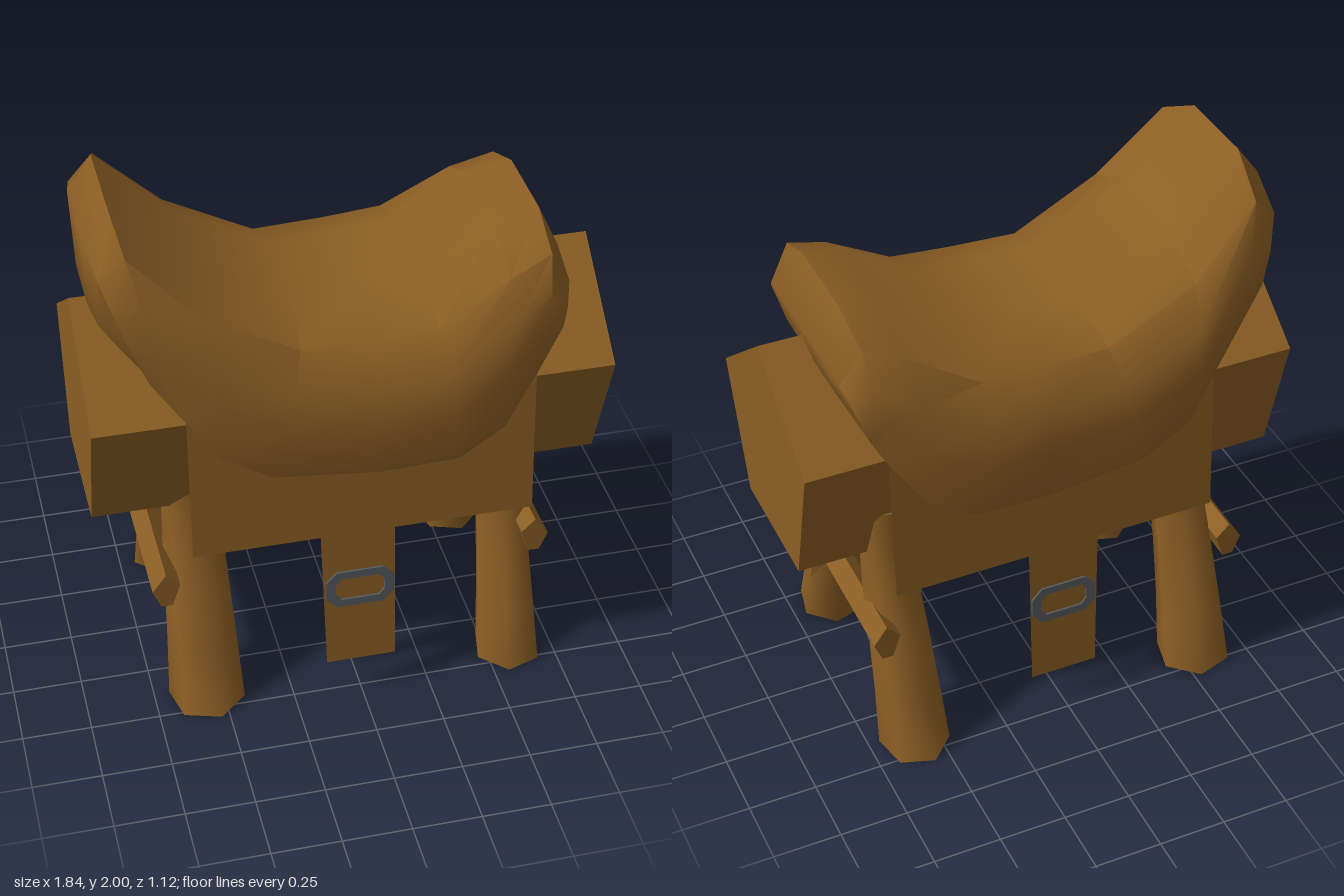
import * as THREE from 'three';
import { toCreasedNormals } from 'three/addons/utils/BufferGeometryUtils.js';

const leather = new THREE.MeshStandardMaterial({ color: 0x8b5e24, side: THREE.DoubleSide });
leather.name = 'brownLeatherAndWood';
const iron = new THREE.MeshStandardMaterial({ color: 0x55595c });
iron.name = 'greyIron';

const CZ = 0.035; // middle of the saddle in z

// Skin through rings of [x, y, z] points, closed at both ends by strips
function loft(rings, crease) {
  const m = rings[0].length, pos = [];
  const tri = (a, b, c) => pos.push(...a, ...b, ...c);
  for (let i = 0; i < rings.length - 1; i++) {
    for (let j = 0; j < m; j++) {
      const k = (j + 1) % m, r = rings[i], s = rings[i + 1];
      tri(r[j], s[j], s[k]);
      tri(r[j], s[k], r[k]);
    }
  }
  const first = rings[0], last = rings[rings.length - 1];
  for (let j = 0; j < Math.floor((m - 1) / 2); j++) {
    const a = j, b = j + 1, c = m - 2 - j, d = m - 1 - j;
    tri(first[a], first[b], first[d]);
    tri(last[a], last[d], last[b]);
    if (b !== c) {
      tri(first[b], first[c], first[d]);
      tri(last[b], last[d], last[c]);
    }
  }
  const geo = new THREE.BufferGeometry();
  geo.setAttribute('position', new THREE.Float32BufferAttribute(pos, 3));
  return toCreasedNormals(geo, crease);
}

function add(parent, name, geo, material) {
  const mesh = new THREE.Mesh(geo, material);
  mesh.name = name;
  parent.add(mesh);
  return mesh;
}

// Saddle: each station is [topX, topY, edgeX, edgeY, halfWidth, innerX, innerY]
function saddleGeometry() {
  const stations = [
    [-0.88, 1.88, -0.71, 1.42, 0.41, -0.87, 1.60],
    [-0.79, 2.00, -0.61, 1.28, 0.445, -0.78, 1.48],
    [-0.53, 1.74, -0.49, 1.13, 0.50, -0.50, 1.42],
    [-0.18, 1.56, -0.31, 1.02, 0.50, -0.20, 1.36],
    [0.06, 1.57, 0.06, 0.99, 0.515, 0.06, 1.36],
    [0.27, 1.58, 0.34, 1.01, 0.53, 0.28, 1.36],
    [0.53, 1.74, 0.51, 1.09, 0.49, 0.50, 1.40],
    [0.69, 1.78, 0.63, 1.27, 0.45, 0.70, 1.44],
    [0.77, 1.61, 0.68, 1.36, 0.42, 0.75, 1.50],
  ];
  // [share of half width, share of drop], from the crown down to the edge
  const outer = [[0.36, 0], [0.78, 0.14], [0.93, 0.38], [1, 0.62], [0.93, 1]];
  const inner = [[0.30, 0], [0.55, 0.12], [0.64, 0.35], [0.68, 0.6], [0.72, 0.85]];
  const rings = stations.map(([tx, ty, ex, ey, w, ix, iy]) => {
    const at = (x, y, side) => ([f, g]) => [x + (ex - x) * g, y + (ey - y) * g, CZ + side * f * w];
    return [
      ...outer.map(at(tx, ty, 1)).reverse(), ...outer.map(at(tx, ty, -1)),
      ...inner.map(at(ix, iy, -1)).reverse(), ...inner.map(at(ix, iy, 1)),
    ];
  });
  return loft(rings, 0.75);
}

// Leg: splayed six-sided post, [y, z, halfX, halfZ] per ring
function legGeometry() {
  const rows = [
    [0, 0.42, 0.133, 0.138], [0.22, 0.365, 0.122, 0.12], [0.45, 0.295, 0.112, 0.105],
    [0.6, 0.24, 0.105, 0.103], [0.78, 0.212, 0.1, 0.09], [0.97, 0.215, 0.09, 0.085],
  ];
  return loft(rows.map(([y, z, hx, hz]) => Array.from({ length: 6 }, (_, k) => {
    const a = 0.3 + k * Math.PI / 3;
    return [hx * Math.cos(a), y, z + hz * Math.sin(a)];
  })), 1.1);
}

// Hanging cloth and its buckle lean outward towards the bottom
function lean(geo) {
  const p = geo.attributes.position;
  for (let i = 0; i < p.count; i++) {
    p.setZ(i, p.getZ(i) + 0.412 + (1.35 - p.getY(i)) * 0.06);
  }
  geo.computeVertexNormals();
  return geo;
}

const polygon = (points) => points.map(([x, y]) => new THREE.Vector2(x, y));

export function createModel() {
  const model = new THREE.Group();
  model.name = 'saddleOnStand';

  // Five-sided log body
  const logSection = [[0.44, 1.25], [0.05, 1.56], [-0.36, 1.27], [-0.23, 0.78], [0.27, 0.78]];
  add(model, 'log', loft([-0.92, 0.92].map((x) => logSection.map(([z, y]) => [x, y, z])), 0.7), leather);

  add(model, 'saddle', saddleGeometry(), leather);

  // Side cloths with hanging straps and buckles
  const cloth = new THREE.Shape(polygon([
    [-0.6, 1.35], [-0.6, 0.71], [-0.145, 0.71], [-0.13, 0.15],
    [0.125, 0.15], [0.125, 0.71], [0.63, 0.71], [0.63, 1.33],
  ]));
  const ring = new THREE.Shape(polygon([
    [-0.13, 0.44], [-0.09, 0.4], [0.08, 0.4], [0.12, 0.44],
    [0.12, 0.51], [0.08, 0.55], [-0.09, 0.55], [-0.13, 0.51],
  ]));
  ring.holes.push(new THREE.Path(polygon([
    [-0.095, 0.455], [-0.095, 0.495], [-0.075, 0.52], [0.065, 0.52],
    [0.085, 0.495], [0.085, 0.455], [0.065, 0.43], [-0.075, 0.43],
  ])));
  const clothGeo = lean(new THREE.ShapeGeometry(cloth));
  const buckleGeo = lean(new THREE.ExtrudeGeometry(ring, { depth: 0.008, bevelEnabled: false }));
  for (const [side, label] of [[1, 'front'], [-1, 'back']]) {
    const flap = new THREE.Group();
    flap.name = label + 'Flap';
    flap.position.z = CZ;
    flap.scale.z = side;
    add(flap, label + 'Cloth', clothGeo, leather);
    add(flap, label + 'Buckle', buckleGeo, iron);
    model.add(flap);
  }

  // Legs
  const legGeo = legGeometry();
  for (const [x, end] of [[-0.56, 'right'], [0.585, 'left']]) {
    for (const [side, label] of [[1, 'Front'], [-1, 'Back']]) {
      const leg = add(model, end + label + 'Leg', legGeo, leather);
      leg.position.x = x;
      leg.scale.set(x < 0 ? 1.05 : -0.96, 1, side);
    }
  }

  // Stretcher bars across each pair of legs, with nail heads
  const barSection = [[-0.69, 0.59], [-0.64, 0.54], [-0.67, 0.45], [-0.71, 0.45], [-0.74, 0.52]];
  const barGeo = loft([[-0.41, -0.02], [0.42, 0]].map(([z, dy]) =>
    barSection.map(([x, y]) => [x, y + dy, z])), 0.7);
  const nailGeo = new THREE.CylinderGeometry(0.014, 0.014, 0.02, 6).rotateZ(Math.PI / 2);
  for (const [mirror, shift, label] of [[1, 0, 'right'], [-1, -0.02, 'left']]) {
    const stretcher = new THREE.Group();
    stretcher.name = label + 'Stretcher';
    stretcher.scale.x = mirror;
    stretcher.position.x = shift;
    add(stretcher, label + 'Bar', barGeo, leather);
    for (const [y, z] of [[0.47, 0.34], [0.455, -0.31]]) {
      add(stretcher, label + 'Nail', nailGeo, iron).position.set(-0.714, y, z);
    }
    model.add(stretcher);
  }
  return model;
}
